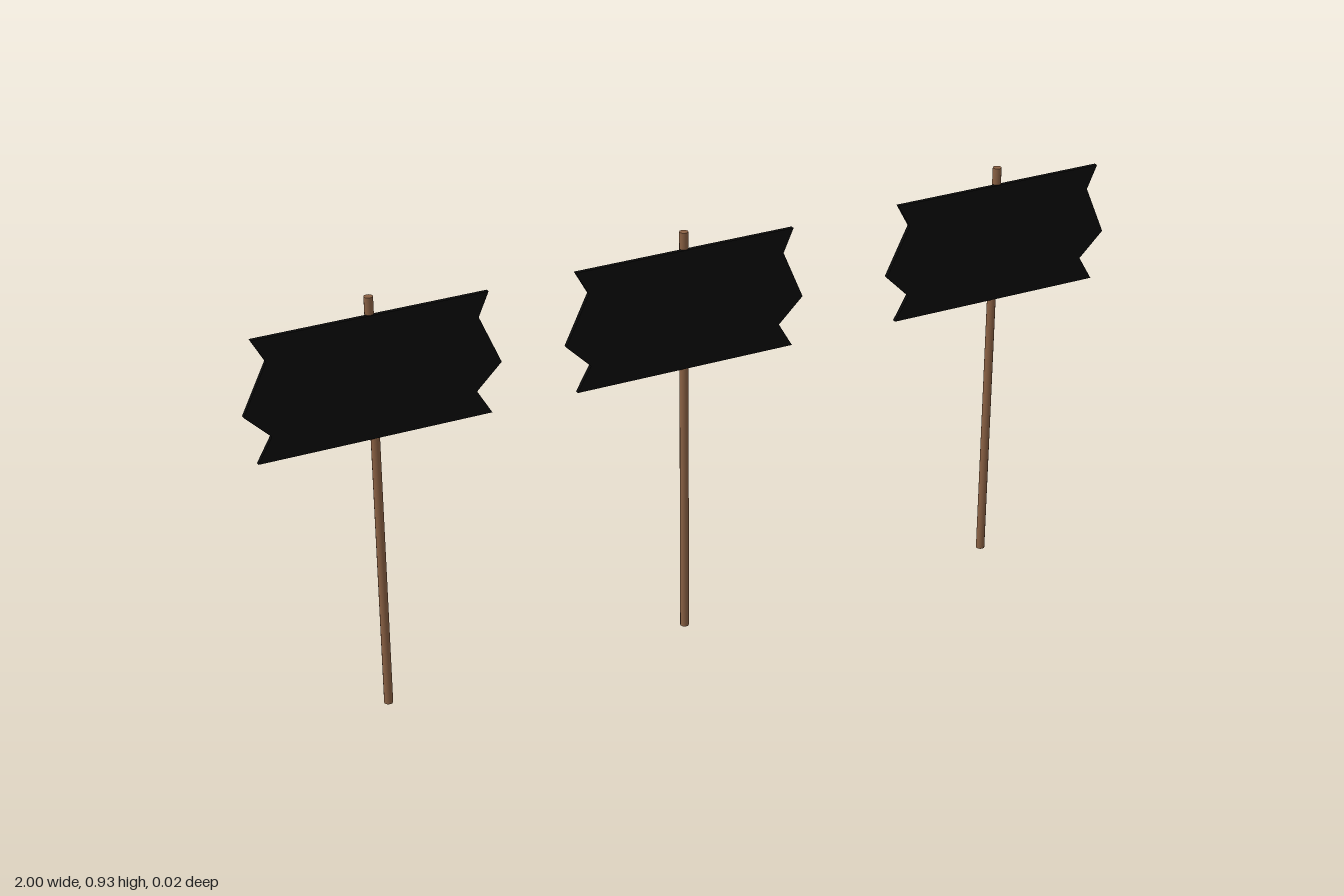
import * as THREE from 'three';

const brown = new THREE.MeshStandardMaterial({ color: 0x8a6144 });
brown.name = 'brown wood';
const black = new THREE.MeshStandardMaterial({ color: 0x0a0a0a });
black.name = 'black paint';

// Board outline with notched, pointed ends (x from the post, y from the ground)
const outline = [
  [-0.251, 0.62], [0.251, 0.62], [0.219, 0.674], [0.275, 0.728], [0.228, 0.836],
  [0.251, 0.888], [-0.251, 0.888], [-0.222, 0.836], [-0.275, 0.728], [-0.22, 0.674],
];

function boardGeometry() {
  const shape = new THREE.Shape(outline.map(([x, y]) => new THREE.Vector2(x, y)));
  const geo = new THREE.ExtrudeGeometry(shape, { depth: 0.009, bevelEnabled: false });
  // Split the caps: bare wood behind, paint on the front and edges
  const [caps, edges] = geo.groups.map((g) => ({ ...g }));
  const half = caps.count / 2;
  geo.clearGroups();
  geo.addGroup(caps.start, half, 0);
  geo.addGroup(caps.start + half, half, 1);
  geo.addGroup(edges.start, edges.count, 1);
  return geo;
}

export function createModel() {
  const model = new THREE.Group();
  model.name = 'signposts';
  const boardGeo = boardGeometry();
  const postGeo = new THREE.CylinderGeometry(0.0095, 0.0095, 0.925, 12);

  [-0.725, -0.031, 0.725].forEach((x) => {
    const sign = new THREE.Group();
    sign.name = 'sign';
    sign.position.x = x;

    const post = new THREE.Mesh(postGeo, brown);
    post.name = 'post';
    post.position.set(0, 0.4625, -0.001);

    const board = new THREE.Mesh(boardGeo, [brown, black]);
    board.name = 'board';
    board.position.z = 0.0015;

    sign.add(post, board);
    model.add(sign);
  });
  return model;
}
